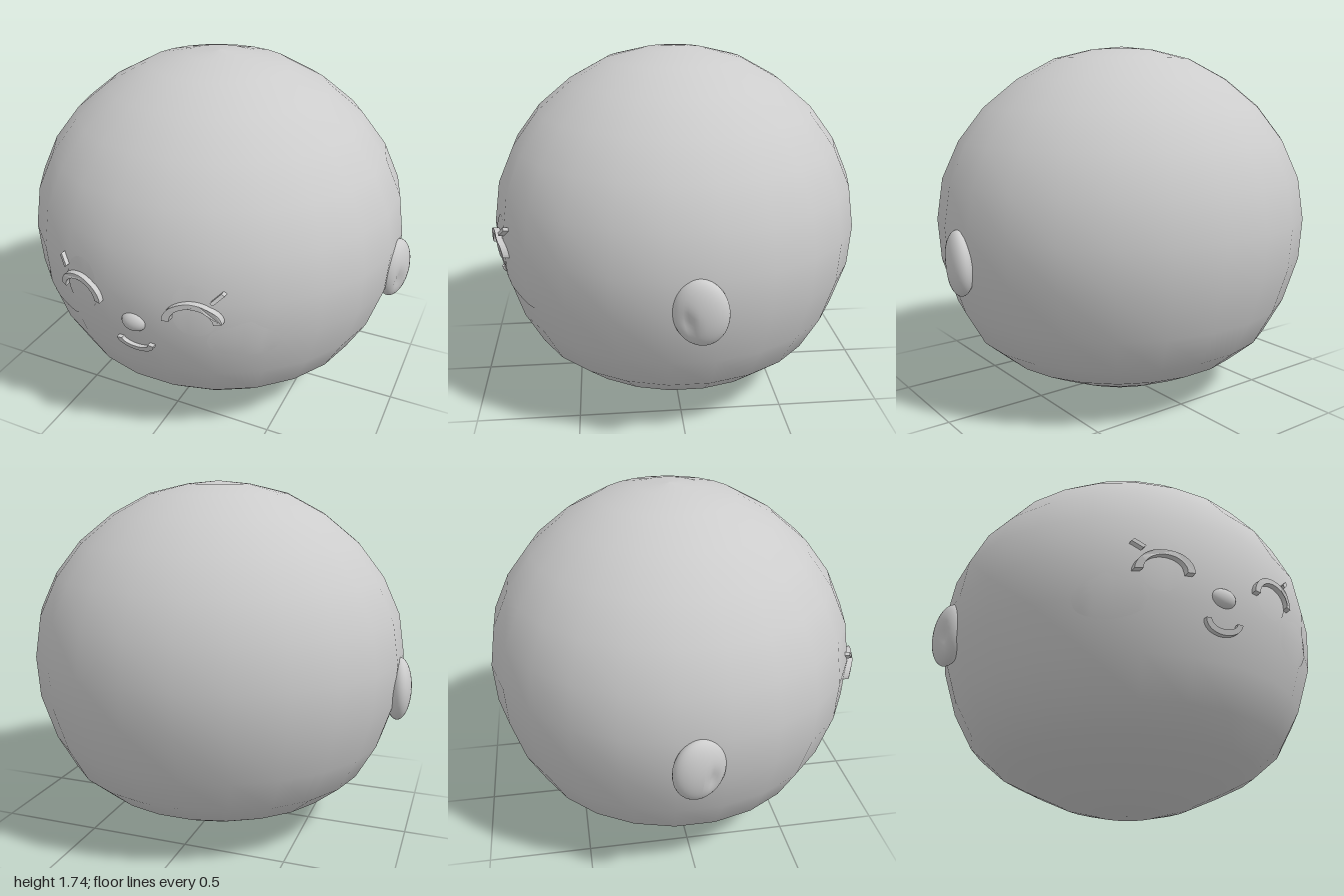
import * as THREE from 'three';

const grey = new THREE.MeshStandardMaterial({ color: 0xcccccc });
grey.name = 'softGrey';

// Head profile: radius, height, from the bottom up
const PROFILE = [[0, 0], [0.16, 0.015], [0.31, 0.055], [0.46, 0.125], [0.605, 0.2], [0.73, 0.31],
  [0.82, 0.48], [0.887, 0.7], [0.9, 0.9], [0.87, 1.1], [0.79, 1.28], [0.67, 1.44],
  [0.51, 1.575], [0.33, 1.675], [0.15, 1.72], [0, 1.735]];
const SIDES = 24, STEP = (Math.PI * 2) / SIDES;
const WIDEN = 1.036, CENTRE_Z = -0.012;

// Height of the faceted head's front surface above a point of the face
function faceZ(x, y) {
  const i = Math.max(1, PROFILE.findIndex((p) => p[1] >= y));
  const [a, b] = [PROFILE[i - 1], PROFILE[i]];
  const r = a[0] + (b[0] - a[0]) * (y - a[1]) / (b[1] - a[1]);
  let z = Infinity;
  for (let k = -5; k <= 5; k++) {
    z = Math.min(z, (r - (x / WIDEN) * Math.sin(k * STEP)) / Math.cos(k * STEP));
  }
  return z + CENTRE_Z;
}

function add(group, name, geometry) {
  const mesh = new THREE.Mesh(geometry, grey);
  mesh.name = name;
  group.add(mesh);
  return mesh;
}

// Thin patch that follows the head, filled in rings around its middle
function patch(outline, cx, cy, lift) {
  const pos = [], nor = [], index = [], n = outline.length, rings = 6, h = 0.1;
  for (let r = 0; r <= rings; r++) {
    for (const p of outline) {
      const x = cx + (p.x - cx) * r / rings, y = cy + (p.y - cy) * r / rings;
      pos.push(x, y, faceZ(x, y) + lift);
      const v = new THREE.Vector3(faceZ(x - h, y) - faceZ(x + h, y), faceZ(x, y - h) - faceZ(x, y + h), 2 * h);
      nor.push(...v.normalize().toArray());
    }
  }
  for (let r = 0; r < rings; r++) {
    for (let i = 0; i < n; i++) {
      const a = r * n + i, b = r * n + (i + 1) % n;
      index.push(a, a + n, b + n);
      if (r > 0) index.push(a, b + n, b);
    }
  }
  const g = new THREE.BufferGeometry();
  g.setAttribute('position', new THREE.Float32BufferAttribute(pos, 3));
  g.setAttribute('normal', new THREE.Float32BufferAttribute(nor, 3));
  g.setIndex(index);
  return g;
}

// Flat outline thickened and bent onto the face
function relief(points, height) {
  const g = new THREE.ExtrudeGeometry(new THREE.Shape(points), { depth: height + 0.02, bevelEnabled: false });
  const p = g.attributes.position;
  for (let i = 0; i < p.count; i++) {
    p.setZ(i, p.getZ(i) - 0.02 + faceZ(p.getX(i), p.getY(i)));
  }
  g.computeVertexNormals();
  return g;
}

// Points along an elliptical arc
function arc(cx, cy, rx, ry, from, to, n = 20) {
  return Array.from({ length: n + 1 }, (_, i) => {
    const t = from + (to - from) * i / n;
    return new THREE.Vector2(cx + rx * Math.cos(t), cy + ry * Math.sin(t));
  });
}

// Ear: a flattened ball with a shallow hollow on the outside
function earGeometry(side) {
  const g = new THREE.SphereGeometry(1, 32, 24);
  const p = g.attributes.position;
  for (let i = 0; i < p.count; i++) {
    const x = p.getX(i), y = p.getY(i), z = p.getZ(i);
    const d = ((y + 0.2) / 0.42) ** 2 + ((z - 0.4) / 0.22) ** 2;
    if (x * side > 0) p.setX(i, x - side * 0.3 * Math.exp(-d * 1.5));
  }
  g.scale(0.062, 0.152, 0.122);
  g.computeVertexNormals();
  return g;
}

export function createModel() {
  const model = new THREE.Group();
  model.name = 'smilingHead';

  // Head
  const outer = 1 / Math.cos(STEP / 2);
  const head = add(model, 'head', new THREE.LatheGeometry(
    PROFILE.map(([r, y]) => new THREE.Vector2(r * outer, y)), SIDES, STEP / 2));
  head.scale.x = WIDEN;
  head.position.z = CENTRE_Z;

  for (const s of [1, -1]) {
    const side = s > 0 ? 'left' : 'right';
    const ordered = (pts) => {
      const out = pts.map((p) => new THREE.Vector2(p.x * s, p.y));
      return s > 0 ? out : out.reverse();
    };

    // Ear
    const ear = add(model, side + 'Ear', earGeometry(s));
    ear.position.set(0.93 * s, 0.762, -0.035);
    ear.rotation.set(0.08, -0.2 * s, 0);

    // Closed eye: upper lid patch, lower eye patch, raised lid line and lash
    const lid = arc(0.275, 0.895, 0.085, 0.09, 0, Math.PI * 2, 32).slice(0, -1);
    add(model, side + 'EyelidPatch', patch(ordered(lid), 0.275 * s, 0.895, 0.002));
    const eye = arc(0.28, 0.82, 0.09, 0.088, 0, Math.PI * 2, 32).slice(0, -1);
    add(model, side + 'EyePatch', patch(ordered(eye), 0.28 * s, 0.82, 0.003));
    const line = [...arc(0.277, 0.815, 0.124, 0.097, 0, Math.PI), ...arc(0.277, 0.815, 0.092, 0.073, Math.PI, 0)];
    add(model, side + 'EyeLine', relief(ordered(line), 0.03));
    const lash = [[0.355, 0.925], [0.367, 0.913], [0.408, 0.953], [0.396, 0.966]];
    add(model, side + 'Eyelash', relief(ordered(lash.map((p) => new THREE.Vector2(...p))), 0.025));

    // Blush patch on the cheek
    const blush = [[0.34, 0.66], [0.33, 0.71], [0.36, 0.765], [0.43, 0.785], [0.5, 0.81], [0.53, 0.787],
      [0.59, 0.745], [0.605, 0.69], [0.57, 0.635], [0.47, 0.61], [0.38, 0.63]].reverse();
    const curve = new THREE.CatmullRomCurve3(blush.map(([x, y]) => new THREE.Vector3(x, y, 0)), true);
    const edge = curve.getPoints(48).slice(0, -1);
    add(model, side + 'Blush', patch(ordered(edge), 0.47 * s, 0.7, 0.002));
  }

  // Nose
  const nose = add(model, 'nose', new THREE.SphereGeometry(1, 24, 16));
  nose.scale.set(0.06, 0.046, 0.035);
  nose.position.set(0, 0.748, 0.873);

  // Smile
  const smile = [...arc(0, 0.64, 0.092, 0.056, Math.PI, Math.PI * 2), ...arc(0, 0.642, 0.066, 0.034, Math.PI * 2, Math.PI)];
  add(model, 'smile', relief(smile, 0.022));

  return model;
}
